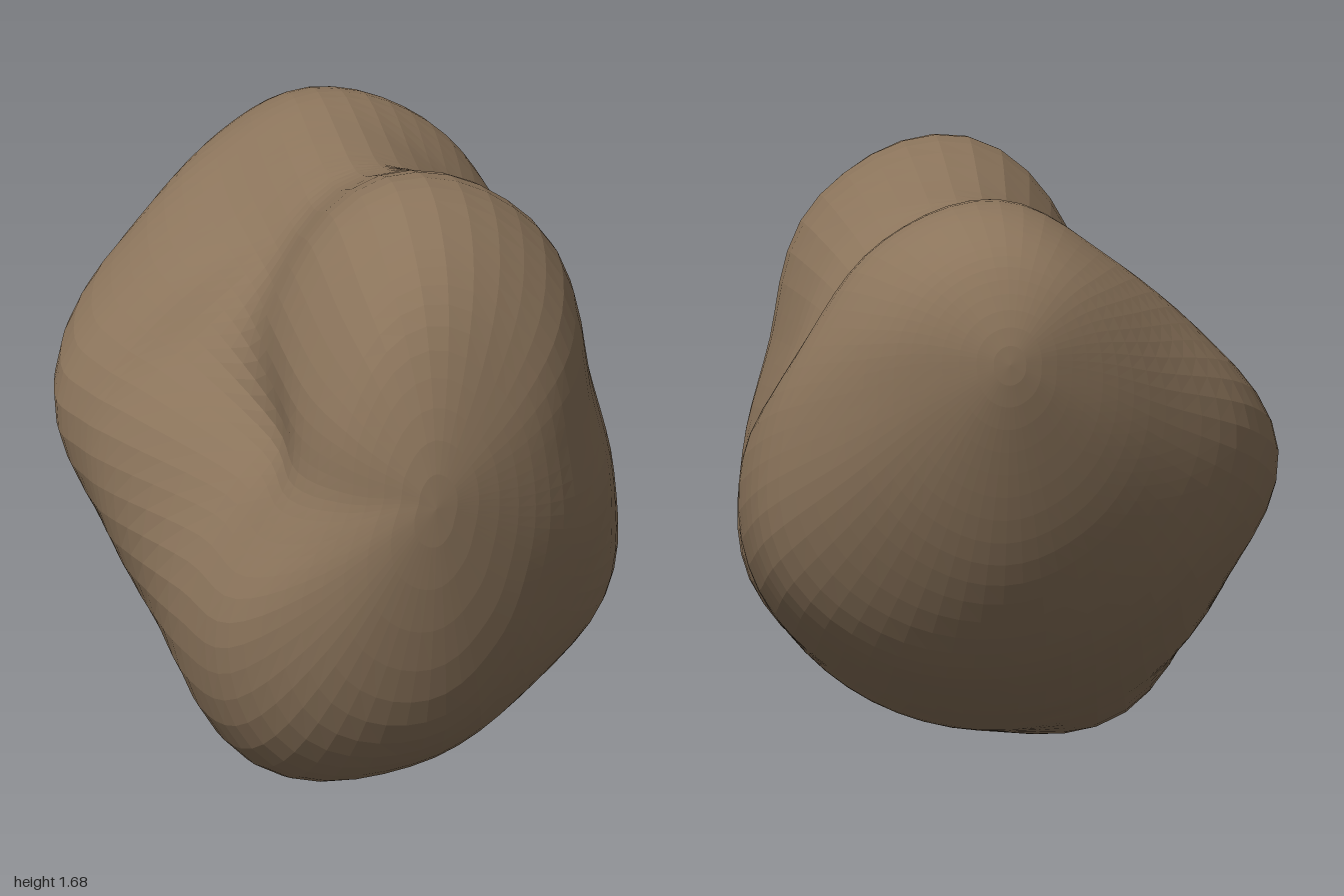
import * as THREE from 'three';

// Cross-sections from back to front: depth z, centre height cy, and the
// radius every 30 degrees, counter-clockwise from +x.
const CX = 0.05;
const sections = [
  { z: -1.0, cy: 1.25, r: Array(12).fill(0) },
  { z: -0.93, cy: 1.2, r: [.23, .25, .27, .28, .27, .24, .22, .23, .25, .27, .26, .24] },
  { z: -0.8, cy: 1.1, r: [.44, .45, .48, .5, .46, .44, .45, .45, .47, .5, .49, .48] },
  { z: -0.6, cy: 1.0, r: [.63, .59, .63, .65, .58, .6, .7, .67, .65, .66, .69, .7] },
  { z: -0.35, cy: 0.9, r: [.69, .6, .64, .71, .61, .67, .8, .73, .72, .72, .72, .74] },
  { z: -0.17, cy: 0.87, r: [.66, .58, .65, .705, .58, .63, .76, .76, .76, .75, .74, .73] },
  { z: 0.0, cy: 0.85, r: [.63, .61, .73, .73, .53, .51, .68, .76, .8, .78, .75, .71] },
  { z: 0.4, cy: 0.8, r: [.63, .64, .83, .875, .62, .38, .47, .7, .86, .77, .7, .7] },
  { z: 0.7, cy: 0.75, r: [.51, .55, .73, .81, .55, .38, .42, .61, .74, .67, .57, .51] },
  { z: 0.9, cy: 0.8, r: [.3, .34, .44, .53, .37, .25, .26, .35, .47, .48, .38, .31] },
  { z: 1.0, cy: 0.9, r: Array(12).fill(0) },
];

// Mirrored sections past each tip keep the two ends round
const through = (s) => ({ z: s.z, cy: s.cy, r: s.r.map((_, k) => -s.r[(k + 6) % 12]) });
const rows = [through(sections[1]), ...sections, through(sections[sections.length - 2])];

function spline(a, b, c, d, t) {
  return b + 0.5 * t * (c - a + t * (2 * a - 5 * b + 4 * c - d + t * (3 * (b - c) + d - a)));
}

function radiusAt(r, u) {
  const k = Math.floor(u);
  const at = (i) => r[(k + i + 12) % 12];
  return spline(at(-1), at(0), at(1), at(2), u - k);
}

function boulderGeometry(around = 60, perSpan = 5) {
  const spans = sections.length - 1;
  const rings = spans * perSpan;
  const positions = [];
  const index = [];
  for (let i = 0; i <= rings; i++) {
    const s = Math.min(Math.floor(i / perSpan), spans - 1);
    const t = i / perSpan - s;
    const four = rows.slice(s, s + 4);
    const mix = (f) => spline(...four.map(f), t);
    const z = mix((q) => q.z);
    const cy = mix((q) => q.cy);
    for (let j = 0; j < around; j++) {
      const a = (j / around) * Math.PI * 2;
      const r = mix((q) => radiusAt(q.r, (j / around) * 12));
      positions.push(CX + r * Math.cos(a), cy + r * Math.sin(a), z);
      if (i === rings) continue;
      const p = i * around + j;
      const q = i * around + ((j + 1) % around);
      if (i > 0) index.push(p, q, p + around);
      if (i < rings - 1) index.push(q, q + around, p + around);
    }
  }
  const geometry = new THREE.BufferGeometry();
  geometry.setAttribute('position', new THREE.Float32BufferAttribute(positions, 3));
  geometry.setIndex(index);

  // Separate faces give the fine facets
  const faceted = geometry.toNonIndexed();
  faceted.computeVertexNormals();
  return faceted;
}

export function createModel() {
  const group = new THREE.Group();
  group.name = 'rock';
  const stone = new THREE.MeshStandardMaterial({ color: 0x8b745b });
  stone.name = 'brownStone';
  const boulder = new THREE.Mesh(boulderGeometry(), stone);
  boulder.name = 'boulder';
  group.add(boulder);
  return group;
}
